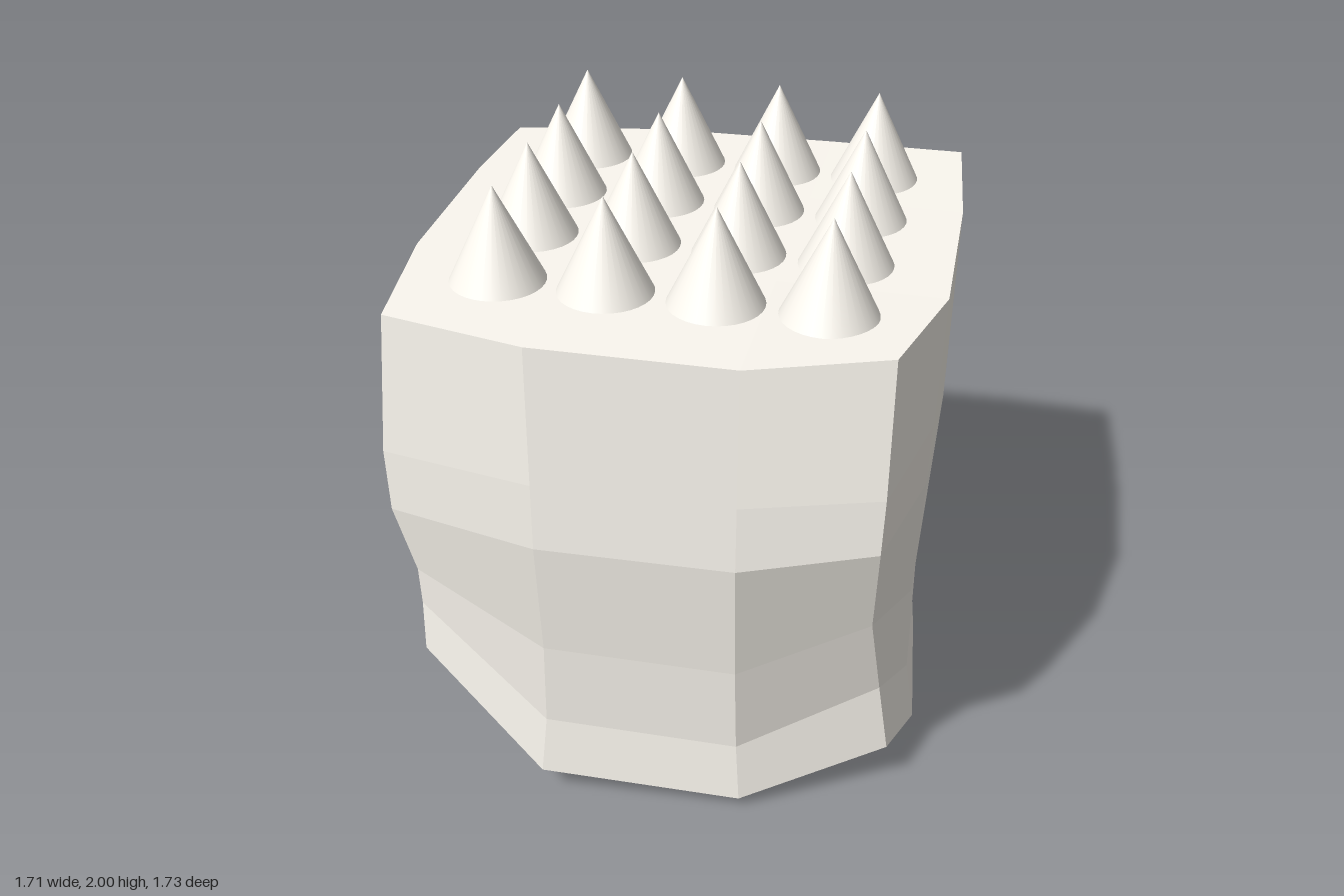
import * as THREE from 'three';

// Corner columns of the block, six points each from rim to base
const cornerFR = [[0.74, 1.725, 0.73], [0.745, 1.31, 0.8], [0.74, 1.12, 0.8], [0.72, 0.74, 0.65], [0.75, 0.41, 0.55], [0.79, 0.17, 0.56]];
const cornerBR = [[0.785, 1.71, -0.79], [0.78, 1.28, -0.79], [0.77, 1.05, -0.78], [0.735, 0.7, -0.69], [0.7, 0.35, -0.6], [0.73, 0.15, -0.6]];
const cornerBL = [[-0.79, 1.7, -0.69], [-0.845, 1.25, -0.69], [-0.855, 1.04, -0.72], [-0.79, 0.75, -0.79], [-0.75, 0.53, -0.84], [-0.71, 0.32, -0.86]];
const cornerFL = [[-0.73, 1.7, 0.76], [-0.76, 1.25, 0.79], [-0.755, 1.04, 0.79], [-0.72, 0.77, 0.73], [-0.73, 0.61, 0.7], [-0.74, 0.41, 0.69]];

// Column between corners: rim, waist and base, pinched in below the waist
function sideColumn(rim, waist, base) {
  const mix = (a, b, t, s = 1) => a.map((v, i) => (v + (b[i] - v) * t) * (i === 1 ? 1 : s));
  return [rim, mix(rim, waist, 0.67), waist, mix(waist, base, 0.45, 0.965), mix(waist, base, 0.78, 0.965), base];
}

// Twelve columns, anticlockwise from above, starting at the front right corner
const columns = [
  cornerFR,
  sideColumn([0.84, 1.7, 0.3], [0.825, 1.05, 0.3], [0.85, 0.045, 0.25]),
  sideColumn([0.83, 1.7, -0.31], [0.825, 1.01, -0.31], [0.8, 0.065, -0.23]),
  cornerBR,
  sideColumn([0.33, 1.7, -0.81], [0.33, 1.03, -0.8], [0.34, 0.05, -0.75]),
  sideColumn([-0.28, 1.7, -0.79], [-0.28, 1.03, -0.79], [-0.28, 0.1, -0.83]),
  cornerBL,
  sideColumn([-0.81, 1.7, -0.31], [-0.83, 1.03, -0.32], [-0.79, 0.11, -0.38]),
  sideColumn([-0.8, 1.7, 0.3], [-0.81, 1.03, 0.3], [-0.81, 0.09, 0.29]),
  cornerFL,
  sideColumn([-0.28, 1.7, 0.85], [-0.28, 1.02, 0.865], [-0.3, 0.11, 0.855]),
  sideColumn([0.33, 1.7, 0.84], [0.33, 1.03, 0.855], [0.34, 0.045, 0.775]),
];

function blockGeometry() {
  const positions = [];
  const normals = [];
  const across = new THREE.Vector3();
  const along = new THREE.Vector3();

  // Each four-sided facet is shaded with a single normal
  function quad(a, b, c, d) {
    positions.push(...a, ...b, ...c, ...a, ...c, ...d);
    across.fromArray(c).sub(along.fromArray(a));
    along.fromArray(d).sub(new THREE.Vector3(...b));
    const normal = across.cross(along).normalize().toArray();
    for (let i = 0; i < 6; i++) normals.push(...normal);
  }

  // Faceted walls
  columns.forEach((a, k) => {
    const b = columns[(k + 1) % columns.length];
    for (let r = 0; r < 5; r++) quad(a[r + 1], b[r + 1], b[r], a[r]);
  });

  // Top and bottom as 3 x 3 patches; -1 marks an inner point
  const layout = [[9, 10, 11, 0], [8, -1, -1, 1], [7, -1, -1, 2], [6, 5, 4, 3]];
  for (const top of [true, false]) {
    const point = (r, c) => {
      const k = layout[r][c];
      if (k >= 0) return columns[k][top ? 0 : 5];
      return [c === 1 ? -0.28 : 0.33, top ? 1.7 : 0, r === 1 ? 0.3 : -0.31];
    };
    for (let r = 0; r < 3; r++) {
      for (let c = 0; c < 3; c++) {
        const p = [point(r, c), point(r, c + 1), point(r + 1, c + 1), point(r + 1, c)];
        quad(...(top ? p : p.reverse()));
      }
    }
  }

  const geometry = new THREE.BufferGeometry();
  geometry.setAttribute('position', new THREE.Float32BufferAttribute(positions, 3));
  geometry.setAttribute('normal', new THREE.Float32BufferAttribute(normals, 3));
  return geometry;
}

export function createModel() {
  const model = new THREE.Group();
  model.name = 'spikedBlock';
  const stone = new THREE.MeshStandardMaterial({ color: 0xfcf8f0 });

  // Rough stone block
  const block = new THREE.Mesh(blockGeometry(), stone);
  block.name = 'stoneBlock';
  model.add(block);

  // Four by four grid of spikes
  const spikes = new THREE.Group();
  spikes.name = 'spikes';
  const spikeGeometry = new THREE.ConeGeometry(0.146, 0.3, 32);
  for (let i = 0; i < 4; i++) {
    for (let j = 0; j < 4; j++) {
      const spike = new THREE.Mesh(spikeGeometry, stone);
      spike.name = 'spike';
      spike.position.set(-0.478 + 0.331 * i, 1.85, -0.522 + 0.331 * j);
      spikes.add(spike);
    }
  }
  model.add(spikes);

  return model;
}
